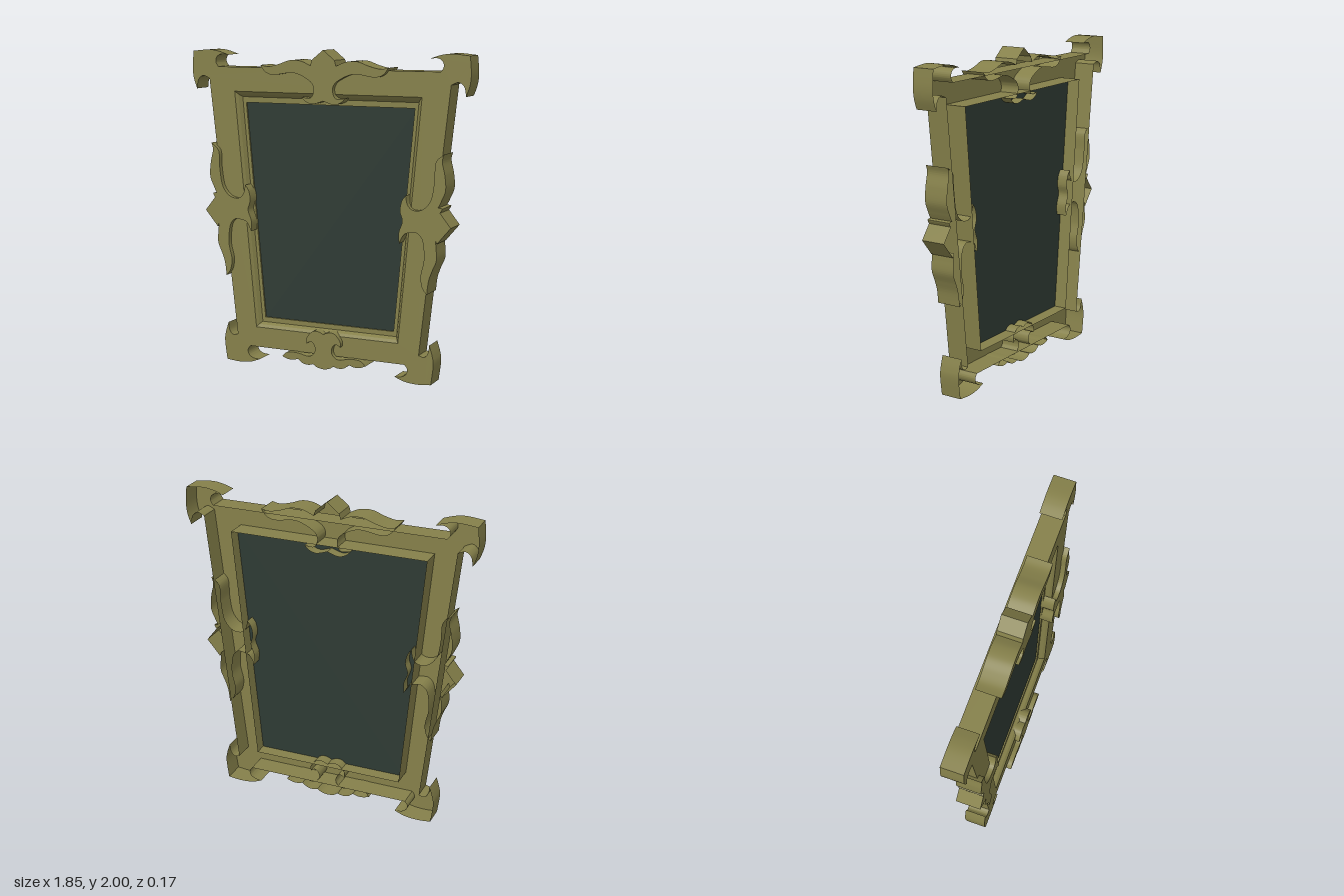
import * as THREE from 'three';
import { toCreasedNormals } from 'three/addons/utils/BufferGeometryUtils.js';

const wood = new THREE.MeshStandardMaterial({ color: 0x85804a, side: THREE.DoubleSide });
const glass = new THREE.MeshStandardMaterial({ color: 0x2e3a33, side: THREE.DoubleSide });

// Outline from runs of points: each run is a smooth curve, runs meet at sharp corners
function outline(runs) {
  const shape = new THREE.Shape();
  shape.moveTo(...runs[0][0]);
  runs.forEach((run, i) => {
    const pts = (i ? run : run.slice(1)).map(p => new THREE.Vector2(...p));
    if (pts.length === 1) shape.lineTo(pts[0].x, pts[0].y);
    else shape.splineThru(pts);
  });
  return shape;
}

const flip = runs => runs.map(run => run.map(([x, y]) => [-x, y]));

// Closes a right half (drawn from the centre line and back to it) with its reflection
function symmetric(half) {
  const full = half.flatMap((run, i) => sample(run, i ? half[i - 1].at(-1) : null));
  const back = full.slice(1, -1).reverse().map(([x, y]) => [-x, y]);
  return new THREE.Shape([...full, ...back].map(p => new THREE.Vector2(...p)));
}

function sample(run, from) {
  const pts = (from ? [from, ...run] : run).map(p => new THREE.Vector2(...p));
  const line = pts.length > 2 ? new THREE.SplineCurve(pts).getPoints(pts.length * 5) : pts;
  return line.slice(from ? 1 : 0).map(p => [p.x, p.y]);
}

// Extruded shell with a front face and side walls but an open back
function shell(shape, zBack, zFront) {
  const solid = new THREE.ExtrudeGeometry(shape, { depth: zFront - zBack, bevelEnabled: false, curveSegments: 24 });
  const p = solid.attributes.position, kept = [];
  for (let i = 0; i < p.count; i += 3) {
    if (p.getZ(i) + p.getZ(i + 1) + p.getZ(i + 2) < 1e-6) continue;
    for (let j = i; j < i + 3; j++) kept.push(p.getX(j), p.getY(j), p.getZ(j) + zBack);
  }
  const g = new THREE.BufferGeometry();
  g.setAttribute('position', new THREE.Float32BufferAttribute(kept, 3));
  return toCreasedNormals(g, 0.6);
}

// Four corners of a tapered rectangle
const taper = (xTop, yTop, xBot, yBot) => [[-xBot, yBot], [xBot, yBot], [xTop, yTop], [-xTop, yTop]];

// Strip joining successive tapered rectangles at given depths
function moulding(loops) {
  const pos = [];
  for (let k = 0; k < loops.length - 1; k++) {
    for (let i = 0; i < 4; i++) {
      const at = (l, c) => [...loops[l].corners[c % 4], loops[l].z];
      const a = at(k, i), b = at(k, i + 1), c = at(k + 1, i + 1), d = at(k + 1, i);
      pos.push(...a, ...b, ...c, ...a, ...c, ...d);
    }
  }
  const g = new THREE.BufferGeometry();
  g.setAttribute('position', new THREE.Float32BufferAttribute(pos, 3));
  g.computeVertexNormals();
  return g;
}

export function createModel() {
  const group = new THREE.Group();
  const add = (name, geometry, material = wood) => {
    const mesh = new THREE.Mesh(geometry, material);
    mesh.name = name;
    group.add(mesh);
  };

  // Tapered frame with flared, curled corners
  const frame = symmetric([
    [[0, 0.117], [0.53, 0.117]],
    [[0.547, 0.09], [0.54, 0.06], [0.51, 0.04], [0.465, 0.035]],
    [[0.53, 0.012], [0.61, 0.004], [0.70, 0.011]],
    [[0.715, 0.13], [0.708, 0.19], [0.688, 0.255]],
    [[0.68, 0.205], [0.655, 0.178], [0.62, 0.185]],
    [[0.804, 1.81]],
    [[0.85, 1.827], [0.885, 1.80], [0.895, 1.745]],
    [[0.918, 1.81], [0.925, 1.88], [0.917, 1.98]],
    [[0.81, 1.99], [0.74, 1.982], [0.67, 1.96]],
    [[0.72, 1.963], [0.75, 1.945], [0.757, 1.915], [0.74, 1.885]],
    [[0, 1.885]],
  ]);
  const opening = taper(0.625, 1.735, 0.485, 0.245);
  frame.holes.push(new THREE.Path(opening.map(p => new THREE.Vector2(...p))));
  add('frame', shell(frame, -0.085, 0.05));

  // Stepped inner moulding
  const ledge = taper(0.59, 1.70, 0.46, 0.275), sight = taper(0.565, 1.665, 0.44, 0.305);
  add('innerMoulding', moulding([
    { corners: opening, z: -0.005 },
    { corners: opening, z: 0.05 },
    { corners: taper(0.607, 1.717, 0.473, 0.262), z: 0.035 },
    { corners: ledge, z: 0.01 },
    { corners: sight, z: 0.01 },
    { corners: sight, z: 0 },
  ]));

  // Mirror pane
  const pane = new THREE.ShapeGeometry(new THREE.Shape(opening.map(p => new THREE.Vector2(...p))));
  add('mirrorPane', pane.translate(0, 0, -0.002), glass);

  // Crest with a peaked centre and scrolling leaves
  add('topOrnament', shell(symmetric([
    [[0, 1.695], [0.07, 1.675], [0.12, 1.69], [0.145, 1.715]],
    [[0.09, 1.71], [0.068, 1.735], [0.065, 1.78], [0.10, 1.82], [0.20, 1.86], [0.33, 1.845], [0.39, 1.86], [0.425, 1.903]],
    [[0.37, 1.895], [0.30, 1.91], [0.225, 1.935], [0.15, 1.932], [0.085, 1.905]],
    [[0.075, 1.94]],
    [[0, 2]],
  ]), -0.072, 0.082));

  // Scalloped apron ornament
  add('bottomOrnament', shell(symmetric([
    [[0, 0.033], [0.04, 0.04], [0.07, 0.058]],
    [[0.10, 0.05], [0.14, 0.055], [0.175, 0.08]],
    [[0.21, 0.07], [0.25, 0.072], [0.285, 0.085]],
    [[0.25, 0.115], [0.18, 0.118], [0.10, 0.105], [0.06, 0.135], [0.06, 0.175], [0.085, 0.20], [0.115, 0.185]],
    [[0.115, 0.22], [0.08, 0.262], [0.04, 0.27], [0, 0.255]],
  ]), -0.072, 0.082));

  // Side ornaments: pointed boss with an upper and a lower leaf
  const side = [
    [[0.778, 1.41], [0.768, 1.365], [0.785, 1.285], [0.79, 1.20], [0.765, 1.135], [0.745, 1.095]],
    [[0.77, 1.09], [0.757, 1.065]],
    [[0.825, 0.98]],
    [[0.74, 0.88]],
    [[0.73, 0.905]],
    [[0.735, 0.86], [0.738, 0.78], [0.71, 0.71], [0.69, 0.65], [0.68, 0.57]],
    [[0.65, 0.61], [0.64, 0.68], [0.66, 0.78], [0.65, 0.89], [0.615, 0.935], [0.57, 0.935], [0.53, 0.92], [0.50, 0.865]],
    [[0.498, 0.93], [0.52, 1.0], [0.505, 1.06], [0.515, 1.12], [0.54, 1.155]],
    [[0.553, 1.10], [0.59, 1.07], [0.65, 1.08], [0.70, 1.14], [0.72, 1.25], [0.727, 1.36], [0.778, 1.41]],
  ];
  add('leftOrnament', shell(outline(side), -0.072, 0.082));
  add('rightOrnament', shell(outline(flip(side)), -0.072, 0.082));

  return group;
}
